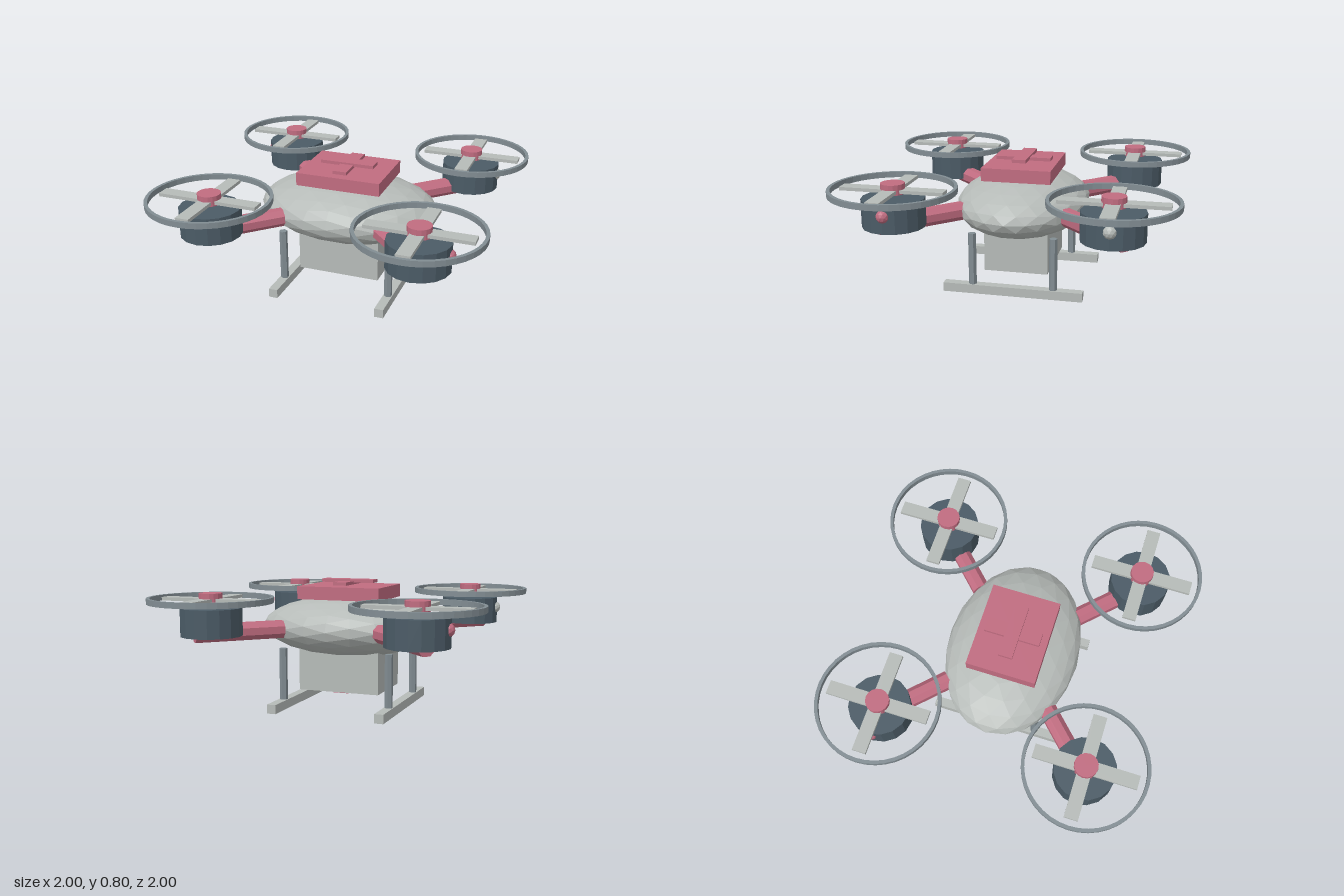
import * as THREE from 'three';

export function createModel() {
  const model = new THREE.Group();
  model.name = 'quadcopter';

  const material = (name, color) => {
    const m = new THREE.MeshStandardMaterial({ color, flatShading: true });
    m.name = name;
    return m;
  };
  const shell = material('light grey shell', 0xb6bbb8);
  const accent = material('rose accent', 0xc06c80);
  const motorDark = material('dark slate', 0x4b5b66);
  const metal = material('blue grey metal', 0x828d93);

  const add = (parent, name, geometry, mat, x = 0, y = 0, z = 0) => {
    const mesh = new THREE.Mesh(geometry, mat);
    mesh.name = name;
    mesh.position.set(x, y, z);
    parent.add(mesh);
    return mesh;
  };
  const box = (w, h, d) => new THREE.BoxGeometry(w, h, d);

  // Faceted ellipsoid body
  const body = new THREE.IcosahedronGeometry(1, 3);
  body.scale(0.567, 0.186, 0.409);
  add(model, 'body', body, shell, 0, 0.51, 0);

  // Top plate with a raised cross
  add(model, 'topPlate', box(0.53, 0.08, 0.424), accent, 0, 0.725, 0);
  add(model, 'topCrossBarX', box(0.34, 0.02, 0.086), accent, 0, 0.794, 0);
  add(model, 'topCrossBarZ', box(0.086, 0.02, 0.34), accent, 0, 0.783, 0);

  // Cargo box with a cross underneath
  add(model, 'cargoBox', box(0.52, 0.27, 0.396), shell, 0, 0.25, 0);
  add(model, 'bottomCrossBarX', box(0.305, 0.014, 0.1), accent, 0, 0.102, 0);
  add(model, 'bottomCrossBarZ', box(0.1, 0.014, 0.305), accent, 0, 0.109, 0);

  // Landing gear: a skid and two hexagonal struts per side
  for (const sx of [-1, 1]) {
    const gear = new THREE.Group();
    gear.name = sx > 0 ? 'leftLandingGear' : 'rightLandingGear';
    add(gear, 'skid', box(0.056, 0.056, 0.862), shell, sx * 0.346, 0.028, 0);
    for (const sz of [-1, 1]) {
      add(gear, 'strut', new THREE.CylinderGeometry(0.025, 0.025, 0.34, 6), metal,
        sx * 0.346, 0.21, sz * 0.25);
    }
    model.add(gear);
  }

  // Rotor guard: a ring with a rectangular section
  const guard = new THREE.LatheGeometry(
    [[0.35, -0.017], [0.37, -0.017], [0.37, 0.017], [0.35, 0.017], [0.35, -0.017]]
      .map(([r, y]) => new THREE.Vector2(r, y)), 40);

  // Four arms, each with motor, rotor, guard and side light
  const offset = 0.63;
  const inner = 0.318, outer = 0.702;
  for (const sx of [-1, 1]) {
    for (const sz of [-1, 1]) {
      const unit = new THREE.Group();
      unit.name = (sz > 0 ? 'front' : 'back') + (sx > 0 ? 'Left' : 'Right') + 'RotorUnit';

      const armShape = new THREE.CylinderGeometry(0.057, 0.057, (outer - inner) * Math.SQRT2, 8);
      armShape.rotateY(Math.PI / 8);
      const mid = (inner + outer) / 2;
      const arm = add(unit, 'arm', armShape, accent, sx * mid, 0.51, sz * mid);
      arm.quaternion.setFromUnitVectors(new THREE.Vector3(0, 1, 0),
        new THREE.Vector3(sx, 0, sz).normalize());

      const x = sx * offset, z = sz * offset;
      add(unit, 'motor', new THREE.CylinderGeometry(0.184, 0.184, 0.166, 16), motorDark, x, 0.577, z);
      add(unit, 'guard', guard, metal, x, 0.705, z);
      add(unit, 'bladeX', box(0.62, 0.02, 0.082), shell, x, 0.705, z);
      add(unit, 'bladeZ', box(0.082, 0.02, 0.62), shell, x, 0.704, z);
      add(unit, 'hub', new THREE.CylinderGeometry(0.07, 0.07, 0.06, 16), accent, x, 0.716, z);

      // Side lights alternate in colour around the craft
      add(unit, 'sideLight', new THREE.IcosahedronGeometry(0.04, 1),
        sx * sz > 0 ? accent : shell, sx * 0.796, 0.595, z);
      model.add(unit);
    }
  }
  return model;
}
